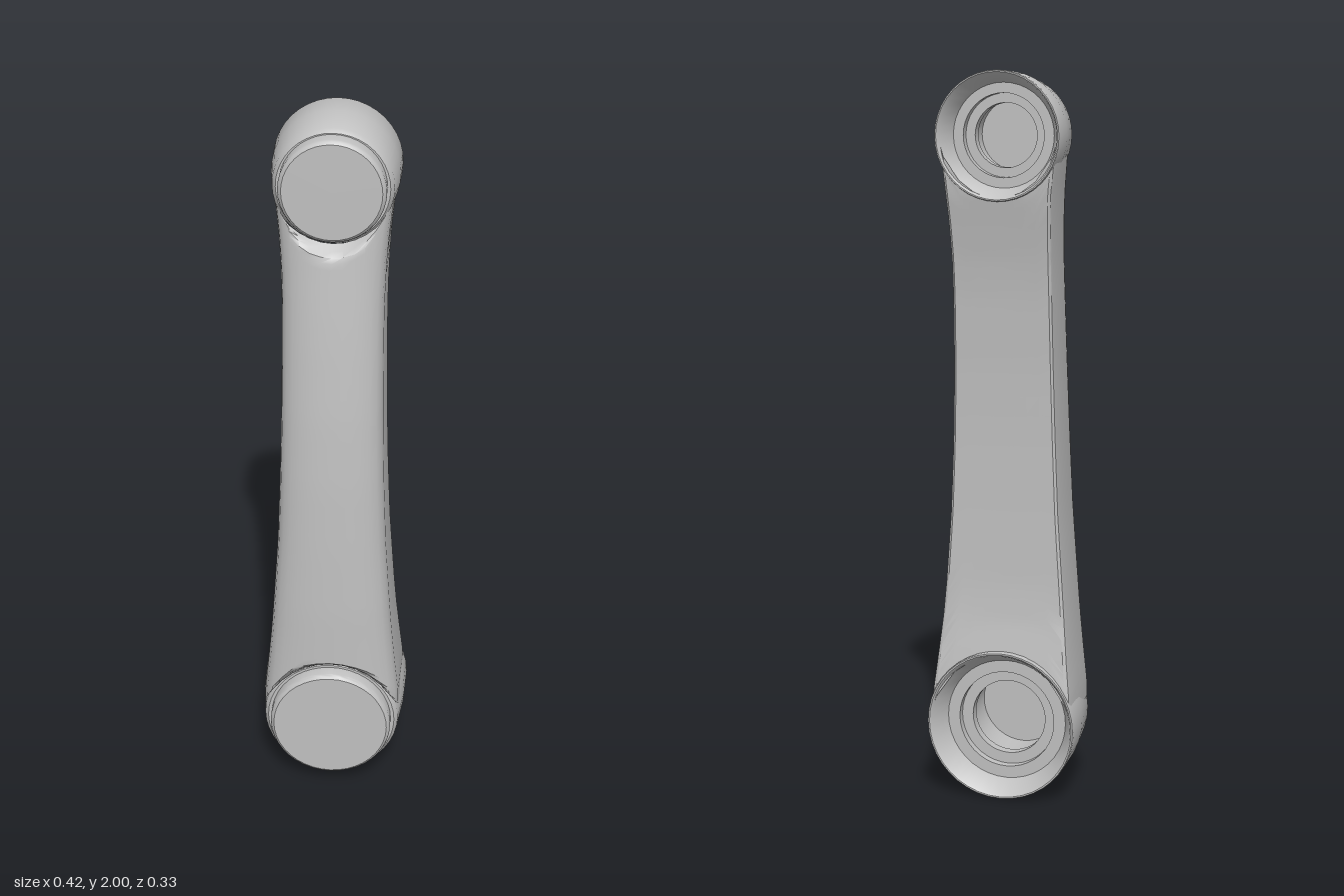
import * as THREE from 'three';
import { toCreasedNormals } from 'three/addons/utils/BufferGeometryUtils.js';

const LOW = { y: 0.21, front: 0.188, back: 0.199 };
const HIGH = { y: 1.83, front: 0.15, back: 0.166 };

// Tables of [height, half width, front z, back z] along the arm
const STATIONS = [
  [0.2, 0.2, 0.165, -0.138], [0.3, 0.197, 0.165, -0.138], [0.4, 0.186, 0.165, -0.125],
  [0.5, 0.176, 0.165, -0.11], [0.6, 0.168, 0.165, -0.103], [0.8, 0.154, 0.16, -0.1],
  [1.0, 0.146, 0.152, -0.1], [1.2, 0.141, 0.138, -0.105], [1.4, 0.139, 0.117, -0.117],
  [1.5, 0.139, 0.105, -0.128], [1.6, 0.142, 0.092, -0.145], [1.68, 0.147, 0.082, -0.16],
  [1.76, 0.156, 0.07, -0.162], [1.85, 0.165, 0.06, -0.162],
];

function station(y) {
  let i = 0;
  while (i < STATIONS.length - 2 && STATIONS[i + 1][0] < y) i++;
  const a = STATIONS[i], b = STATIONS[i + 1];
  const t = (y - a[0]) / (b[0] - a[0]);
  return [1, 2, 3].map((k) => THREE.MathUtils.lerp(a[k], b[k], t));
}

// Arm: a domed section swept between the two round ends, scooped around the caps
function armGeometry() {
  // half section: [fraction of width, drop from the face, is front]
  const right = [
    [0.2, 0.001, true], [0.4, 0.005, true], [0.58, 0.013, true], [0.74, 0.024, true],
    [0.86, 0.038, true], [0.94, 0.055, true], [0.975, 0.08, true],
    [1, 0.02, false], [0.985, 0.006, false], [0.94, 0, false],
    [0.7, 0, false], [0.45, 0, false], [0.2, 0, false],
  ];
  const left = right.map(([u, d, f]) => [-u, d, f]).reverse();
  const loop = [[0, 0, true], ...right, [0, 0, false], ...left];
  const rows = 44, n = loop.length;
  const position = [], index = [];
  for (let r = 0; r <= rows; r++) {
    const t = 0.5 - 0.5 * Math.cos((Math.PI * r) / rows);
    for (const [u, drop, front] of loop) {
      const bow = Math.sqrt(1 - u * u), side = front ? 'front' : 'back';
      const y = THREE.MathUtils.lerp(LOW.y + LOW[side] * bow, HIGH.y - HIGH[side] * bow, t);
      const [w, zf, zb] = station(y);
      const x = u * w;
      const lowScoop = 0.112 + 1.4 * (Math.hypot(x, y - LOW.y) - LOW.front);
      const highScoop = 0.045 + 1.4 * (Math.hypot(x, y - HIGH.y) - HIGH.front);
      const z = front ? Math.min(zf - drop, lowScoop, highScoop) : zb + drop;
      position.push(x, y, z);
    }
  }
  for (let r = 0; r < rows; r++) {
    for (let i = 0; i < n; i++) {
      const a = r * n + i, b = r * n + ((i + 1) % n);
      index.push(a, b, b + n, a, b + n, a + n);
    }
  }
  const g = new THREE.BufferGeometry();
  g.setAttribute('position', new THREE.Float32BufferAttribute(position, 3));
  g.setIndex(index);
  return toCreasedNormals(g, 0.6);
}

// Turned part about the z axis, profile given as [radius, z]
function turned(profile) {
  const g = new THREE.LatheGeometry(profile.map(([r, z]) => new THREE.Vector2(r, z)), 40);
  g.rotateX(Math.PI / 2);
  return toCreasedNormals(g, 0.6);
}

// Round end: tapered wall with a stepped bore open at the back
function bossGeometry(rBack, rFront, back, front) {
  return turned([
    [0, front - 0.005], [rBack * 0.56, front - 0.005],
    [rBack * 0.56, back + 0.125], [rBack * 0.5, back + 0.125],
    [rBack * 0.5, back + 0.095], [rBack * 0.65, back + 0.095],
    [rBack * 0.65, back + 0.07], [rBack * 0.81, back + 0.07],
    [rBack * 0.95, back + 0.003], [rBack * 0.97, back],
    [rBack * 0.99, back], [rBack, back + 0.006],
    [rBack * 0.985, back + (front - back) * 0.45],
    [rFront, front - 0.012], [rFront - 0.01, front], [0, front],
  ]);
}

// Raised disc with a softened rim
function capGeometry(r, base, top) {
  return turned([
    [r, base - 0.01], [r, top - 0.012], [r - 0.003, top - 0.005], [r - 0.01, top], [0, top],
  ]);
}

export function createModel() {
  const model = new THREE.Group();
  model.name = 'crankArm';
  const metal = new THREE.MeshStandardMaterial({ color: 0xc0c0c0 });
  metal.name = 'grey metal';

  const add = (name, geometry, y = 0) => {
    const mesh = new THREE.Mesh(geometry, metal);
    mesh.name = name;
    mesh.position.y = y;
    model.add(mesh);
  };

  add('arm', armGeometry());
  add('lowerBoss', bossGeometry(0.21, 0.193, -0.142, 0.11), LOW.y);
  add('lowerCap', capGeometry(0.173, 0.11, 0.154), LOW.y + 0.003);
  add('upperBoss', bossGeometry(0.172, 0.158, -0.168, 0.032), HIGH.y - 0.002);
  add('upperCap', capGeometry(0.14, 0.032, 0.079), HIGH.y + 0.003);
  return model;
}
